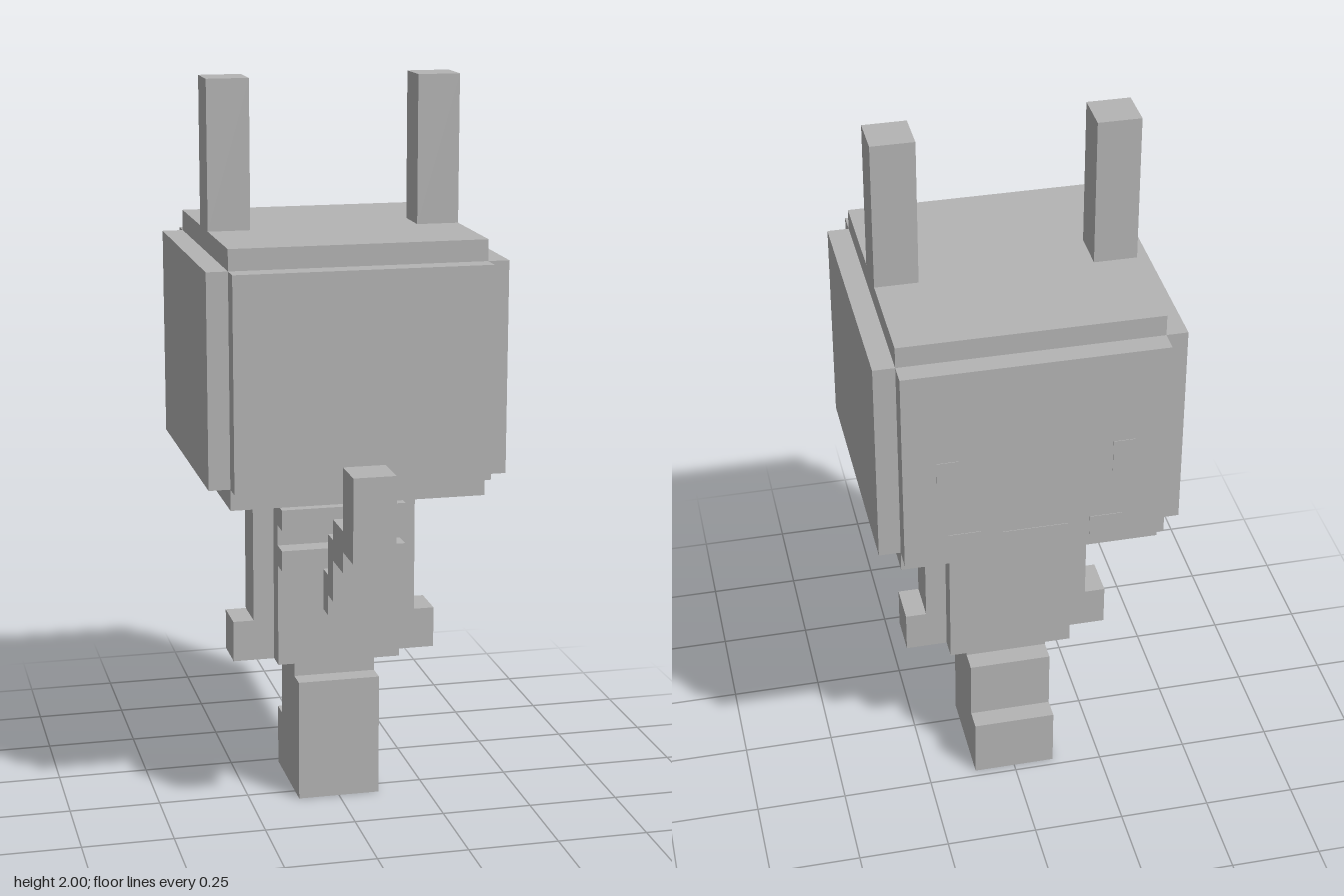
import * as THREE from 'three';

const U = 2 / 35; // one block unit

export function createModel() {
  const model = new THREE.Group();
  const grey = new THREE.MeshStandardMaterial({ color: 0xb4b4b4 });
  grey.name = 'plain grey';

  // Box from its limits in block units
  const block = (name, x0, x1, y0, y1, z0, z1) => {
    const geo = new THREE.BoxGeometry((x1 - x0) * U, (y1 - y0) * U, (z1 - z0) * U);
    const mesh = new THREE.Mesh(geo, grey);
    mesh.name = name;
    mesh.position.set((x0 + x1) / 2 * U, (y0 + y1) / 2 * U, (z0 + z1) / 2 * U);
    model.add(mesh);
  };
  // The same box on both sides
  const pair = (name, x0, x1, ...rest) => {
    block(name + 'Left', x0, x1, ...rest);
    block(name + 'Right', -x1, -x0, ...rest);
  };

  // Head: core with raised panels on four sides
  block('headCore', -6, 6, 16, 28, -7, 5);
  block('headPanelFront', -6, 6, 17, 27, 5, 6);
  block('headPanelBack', -6, 6, 17, 27, -8, -7);
  pair('headPanel', 6, 7, 17, 27, -7, 5);
  pair('ear', 4, 6, 28, 35, -2, 0);

  // Face marks as very thin plates
  const face = [-8.03, -8];
  pair('eye', 3.5, 4.5, 20.8, 22.4, ...face);
  pair('cheek', 2.5, 4, 17.4, 18.4, ...face);
  block('mouth', -1.5, 1.5, 17.6, 18.2, ...face);

  // Neck, torso and arms
  block('neck', -1, 1, 15, 16, -2, 0);
  block('torso', -3, 3, 7, 15, -3, 1);
  block('upperRidge', -3, 3, 14, 15, 1, 2);
  block('lowerRidge', -3, 3, 12, 13, 1, 2);
  pair('arm', 3, 4, 7, 15, -2, 0);
  pair('hand', 4, 5, 7, 9, -2, 0);

  // Hip, legs and feet
  block('hip', -2, 2, 6, 7, -2, 0);
  block('legs', -2, 2, 0, 6, -3, 1);
  block('toes', -2, 2, 0, 3, -4, -3);

  // Stepped tail, from root to tip: y0, y1, z0, z1
  [[10, 12, 2, 3], [11, 14, 3, 4], [13, 15, 4, 6], [14, 18, 6, 8]]
    .forEach((s, i) => block('tailStep' + (i + 1), -1, 1, ...s));

  return model;
}
